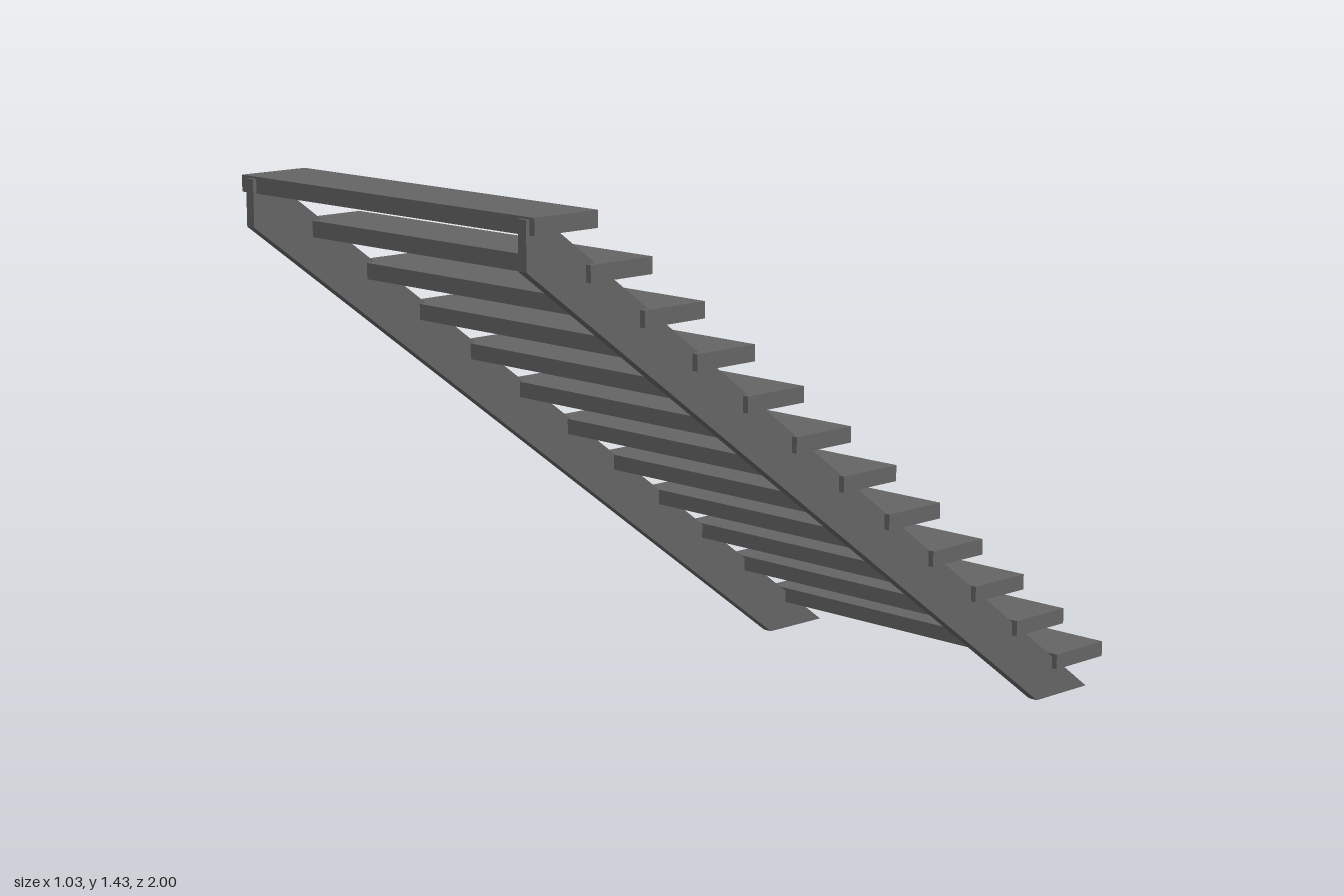
import * as THREE from 'three';

export function createModel() {
  const model = new THREE.Group();
  model.name = 'openStaircase';
  const grey = new THREE.MeshStandardMaterial({ color: 0x646464 });
  grey.name = 'dark grey';

  // Treads: evenly climbing from the back to the front
  const count = 12;
  const treadGeometry = new THREE.BoxGeometry(1.035, 0.04, 0.187);
  for (let i = 0; i < count; i++) {
    const t = i / (count - 1);
    const tread = new THREE.Mesh(treadGeometry, grey);
    tread.name = `tread${i + 1}`;
    tread.position.set(-0.001, 0.095 + 1.32 * t, -0.906 + 1.803 * t);
    model.add(tread);
  }

  // Stringers: sloped side boards, cut level at the foot and upright at the head
  const profile = new THREE.Shape([
    [-0.755, 0], [1, 1.315], [1, 1.43], [0.952, 1.43], [-0.955, 0],
  ].map(([z, y]) => new THREE.Vector2(-z, y)));
  const width = 0.027;
  const stringerGeometry = new THREE.ExtrudeGeometry(profile, { depth: width, bevelEnabled: false });
  stringerGeometry.translate(0, 0, -width / 2);
  stringerGeometry.rotateY(Math.PI / 2);
  for (const [name, x] of [['rightStringer', -0.477], ['leftStringer', 0.487]]) {
    const stringer = new THREE.Mesh(stringerGeometry, grey);
    stringer.name = name;
    stringer.position.x = x;
    model.add(stringer);
  }
  return model;
}
